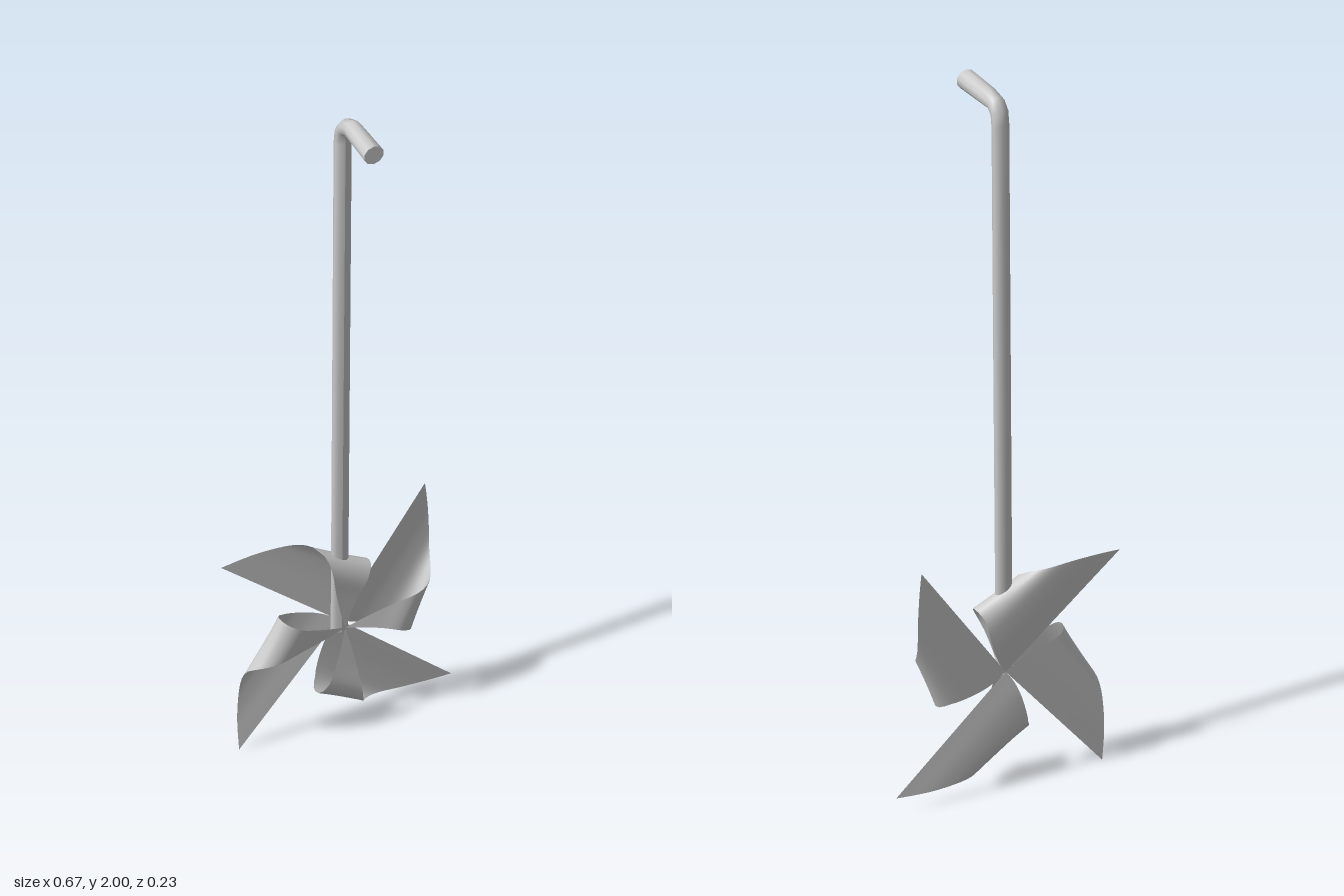
import * as THREE from 'three';

const lerp = THREE.MathUtils.lerp;

// Bent stick: a cylinder whose rings are moved along a path in the y-z plane
function makeStick(material) {
  // x, y, z, tilt in degrees, half width, half depth
  const rings = [
    [0, 1.971, 0.115, 90, 0.029, 0.028],
    [0, 1.974, -0.01, 90, 0.026, 0.026],
    [-0.004, 1.966, -0.035, 65, 0.025, 0.023],
    [-0.006, 1.945, -0.05, 35, 0.025, 0.019],
    [-0.006, 1.91, -0.055, 5, 0.025, 0.017],
    [-0.006, 0.32, -0.075, 0, 0.024, 0.015],
  ];
  const last = rings.length - 1;
  const geometry = new THREE.CylinderGeometry(1, 1, 1, 10, last);
  const p = geometry.attributes.position;
  for (let i = 0; i < p.count; i++) {
    const [x, y, z, tilt, w, d] = rings[Math.round((0.5 - p.getY(i)) * last)];
    const a = THREE.MathUtils.degToRad(tilt);
    const depth = p.getZ(i) * d;
    p.setXYZ(i, x + p.getX(i) * w, y - depth * Math.sin(a), z + depth * Math.cos(a));
  }
  geometry.computeVertexNormals();
  const stick = new THREE.Mesh(geometry, material);
  stick.name = 'stick';
  return stick;
}

// Paper blade: a right triangle whose second corner curls forward to the hub.
// Local +x runs to the flat tip, -y is the direction of the curl.
function makeBladeGeometry() {
  const size = 0.436;
  // reach from the hub and height, along the curled edge
  const curl = new THREE.CatmullRomCurve3([
    [0, 0], [0.09, -0.008], [0.165, -0.003], [0.192, 0.018],
    [0.19, 0.044], [0.155, 0.063], [0.08, 0.053], [0, 0.04],
  ].map(([reach, height]) => new THREE.Vector3(reach, height, 0)));
  const across = 28, along = 14;
  const positions = [], index = [];
  for (let i = 0; i <= across; i++) {
    const s = i / across;
    const c = curl.getPointAt(s);
    for (let j = 0; j <= along; j++) {
      const t = (1 - s) * j / along;
      const taper = 1 - 0.38 * t * Math.min(1, s / 0.5) ** 2;
      const shear = 0.06 * (1 - 2 * t) * Math.sin(Math.PI * s) * Math.min(1, s / 0.4);
      positions.push(
        t * size + shear * (1 - t),
        -c.x * taper,
        lerp(c.y, c.y * 0.95 - 0.005, t),
      );
      if (i < across && j < along) {
        const a = i * (along + 1) + j, b = a + along + 1;
        index.push(a, b, a + 1);
        if (i < across - 1) index.push(b, b + 1, a + 1);
      }
    }
  }
  const geometry = new THREE.BufferGeometry();
  geometry.setAttribute('position', new THREE.Float32BufferAttribute(positions, 3));
  geometry.setIndex(index);
  geometry.computeVertexNormals();
  return geometry;
}

export function createModel() {
  const model = new THREE.Group();
  model.name = 'pinwheel';
  const stickMaterial = new THREE.MeshStandardMaterial({ color: 0xcccccc });
  const paperMaterial = new THREE.MeshStandardMaterial({ color: 0xcccccc, side: THREE.DoubleSide });

  model.add(makeStick(stickMaterial));

  // Four blades around the hub, set slightly unevenly
  const wheel = new THREE.Group();
  wheel.name = 'wheel';
  wheel.position.set(0.004, 0.331, -0.1);
  const bladeGeometry = makeBladeGeometry();
  [-40.8, 54.3, 141, 229].forEach((angle, i) => {
    const blade = new THREE.Mesh(bladeGeometry, paperMaterial);
    blade.name = `blade${i + 1}`;
    blade.rotation.z = THREE.MathUtils.degToRad(angle);
    wheel.add(blade);
  });
  model.add(wheel);
  return model;
}
